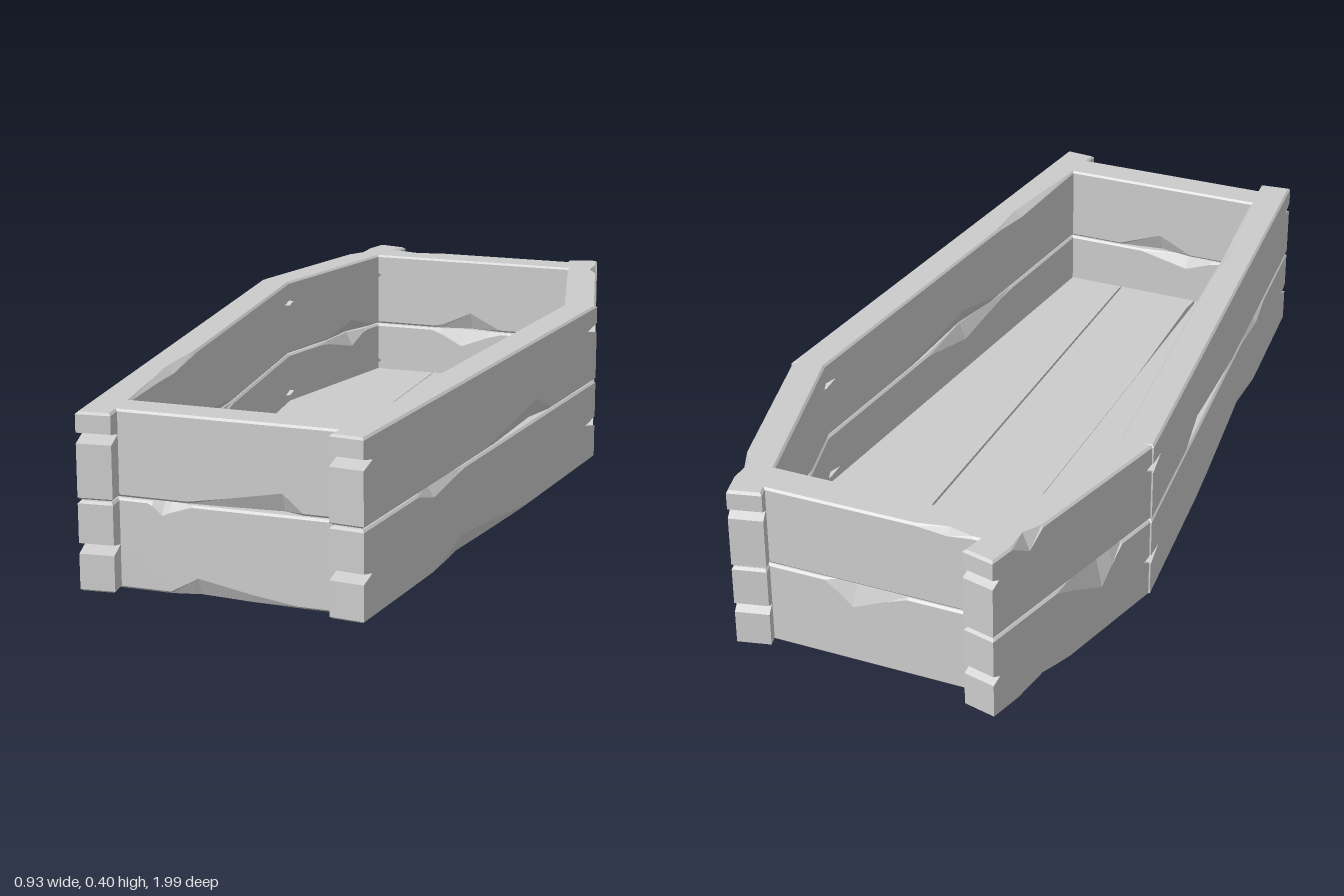
import * as THREE from 'three';

const material = new THREE.MeshStandardMaterial({ color: 0xcccccc, flatShading: true });
const BEVEL = 0.005;

// Chip on a long edge: edge 'ob' | 'ot' | 'ib' | 'it' (outer/inner, bottom/top),
// start, peak and end as fractions of the length, and height of the cut.
const chip = (edge, a, p, b, h) => ({ edge, a, p, b, h });
const mirrorChip = c => chip(c.edge, 1 - c.b, 1 - c.p, 1 - c.a, c.h);

// Seeded wear for the inner faces
let seed = 7;
const random = () => (seed = (seed * 16807) % 2147483647) / 2147483647;
function innerChip(edge) {
  const a = 0.2 + 0.2 * random(), b = a + 0.3 + 0.1 * random();
  return chip(edge, a, a + (b - a) * (0.3 + 0.4 * random()), b, 0.03 + 0.025 * random());
}

// How far an edge is cut away at fraction s: [height, depth]
function cutAt(chips, edge, s) {
  let h = BEVEL, d = BEVEL;
  for (const c of chips) {
    if (c.edge !== edge || s <= c.a || s >= c.b) continue;
    const f = s < c.p ? (s - c.a) / (c.p - c.a) : (c.b - s) / (c.b - c.p);
    h = Math.max(h, c.h * f);
    d = Math.max(d, 0.02 * f);
  }
  return [h, d];
}

// Wall board from A to B (outer face, [x, z]); the inner face lies to the left of travel.
// splitY: height of the end cracks, splits: their depth at A and B.
function board(name, A, B, y0, y1, T, chips, splitY, splits) {
  const dx = B[0] - A[0], dz = B[1] - A[1], L = Math.hypot(dx, dz), H = y1 - y0;
  const ux = dx / L, uz = dz / L;
  const stations = [...new Set([0, 1, ...chips.flatMap(c => [c.a, c.p, c.b])])].sort((a, b) => a - b);
  const pos = [], idx = [], N = 14;

  for (const s of stations) {
    const side = (bottom, top, inner) => {
      const [bh, bd] = cutAt(chips, bottom, s), [th, td] = cutAt(chips, top, s);
      const heights = [0, bh, splitY - 0.014, splitY, splitY + 0.01, H - th, H];
      return heights.map((v, k) => {
        const inset = k === 0 ? bd : k === 6 ? td : 0;
        const across = inner ? T - inset : inset;
        // worn, split end grain
        let along = s * L;
        const wear = k === 0 || k === 6 ? 0.009 : 0.002;
        if (s === 0) along += k === 3 ? splits[0] : wear;
        if (s === 1) along -= k === 3 ? splits[1] : wear;
        return [A[0] + ux * along + uz * across, y0 + v, A[1] + uz * along - ux * across];
      });
    };
    pos.push(...side('ob', 'ot', false).flat(), ...side('ib', 'it', true).reverse().flat());
  }

  const quad = (a, b, c, d) => idx.push(a, b, c, a, c, d);
  const last = (stations.length - 1) * N;
  for (let p = 0; p < last; p += N)
    for (let k = 0; k < N; k++) {
      const n = (k + 1) % N;
      quad(p + k, p + N + k, p + N + n, p + n);
    }
  for (let k = 0; k < 6; k++) {
    quad(k, k + 1, 12 - k, 13 - k);
    quad(last + 13 - k, last + 12 - k, last + k + 1, last + k);
  }
  const indexed = new THREE.BufferGeometry();
  indexed.setAttribute('position', new THREE.Float32BufferAttribute(pos, 3));
  indexed.setIndex(idx);
  const g = indexed.toNonIndexed();
  g.computeVertexNormals();
  const mesh = new THREE.Mesh(g, material);
  mesh.name = name;
  return mesh;
}

// Two stacked boards make one wall
function wall(name, A, B, T, low, high, splits) {
  const g = new THREE.Group();
  g.name = name;
  g.add(board(name + 'Lower', A, B, 0.004, 0.209, T, [...low, innerChip('it')], 0.1, splits));
  g.add(board(name + 'Upper', A, B, 0.212, 0.408, T, [...high, innerChip('ib')], 0.14, splits));
  return g;
}

// Floor board from an [x, z] outline
function floorBoard(name, points) {
  const shape = new THREE.Shape(points.map(([x, z]) => new THREE.Vector2(x, -z)));
  const g = new THREE.ExtrudeGeometry(shape, { depth: 0.05, bevelEnabled: false });
  g.rotateX(-Math.PI / 2);
  g.translate(0, 0.03, 0);
  const mesh = new THREE.Mesh(g, material);
  mesh.name = name;
  return mesh;
}

export function createModel() {
  seed = 7;
  const group = new THREE.Group();
  group.name = 'openPlankBox';

  // End walls
  group.add(wall('footBoard', [-0.29, 0.94], [0.29, 0.94], 0.085,
    [chip('ob', 0.27, 0.38, 0.78, 0.042), chip('ot', 0.18, 0.24, 0.36, 0.03)],
    [chip('ob', 0.31, 0.72, 0.8, 0.045)], [0.02, 0.02]));
  group.add(wall('headBoard', [0.29, -0.93], [-0.29, -0.93], 0.088,
    [chip('ot', 0.3, 0.42, 0.65, 0.06)],
    [chip('ot', 0.65, 0.82, 0.92, 0.012)], [0.02, 0.02]));

  // Side walls, mirrored; the right side sits slightly further back
  const sideWall = (name, A, B, low, high, splits) => {
    group.add(wall('left' + name, A, B, 0.08, low, high, splits));
    const flip = ([x, z]) => [-x, z < 0 ? z - 0.025 : z + 0.005];
    group.add(wall('right' + name, flip(B), flip(A), 0.08,
      low.map(mirrorChip), high.map(mirrorChip), [splits[1], splits[0]]));
  };
  sideWall('LongBoard', [0.326, 0.987], [0.466, -0.41],
    [chip('ob', 0.26, 0.38, 0.7, 0.045), chip('ot', 0.2, 0.26, 0.4, 0.028)],
    [chip('ob', 0.45, 0.7, 0.78, 0.048), chip('it', 0.1, 0.3, 0.42, 0.015)], [0.045, 0.07]);
  sideWall('ShoulderBoard', [0.464, -0.4], [0.322, -0.977],
    [chip('ot', 0.2, 0.33, 0.62, 0.08), chip('ob', 0.5, 0.7, 0.85, 0.02)],
    [chip('ot', 0.7, 0.78, 0.88, 0.04)], [0.03, 0.025]);

  // Three floor boards with narrow, slightly worn seams
  group.add(floorBoard('floorMiddle', [
    [-0.113, -0.86], [-0.113, 0.4], [-0.103, 0.8], [-0.108, 0.87], [0.108, 0.87], [0.109, -0.86]]));
  for (const [name, m] of [['floorLeft', 1], ['floorRight', -1]])
    group.add(floorBoard(name, [
      [0.115, -0.86], [0.113, 0.87], [0.27, 0.87], [0.395, -0.41], [0.28, -0.86]].map(([x, z]) => [x * m, z])));
  return group;
}
